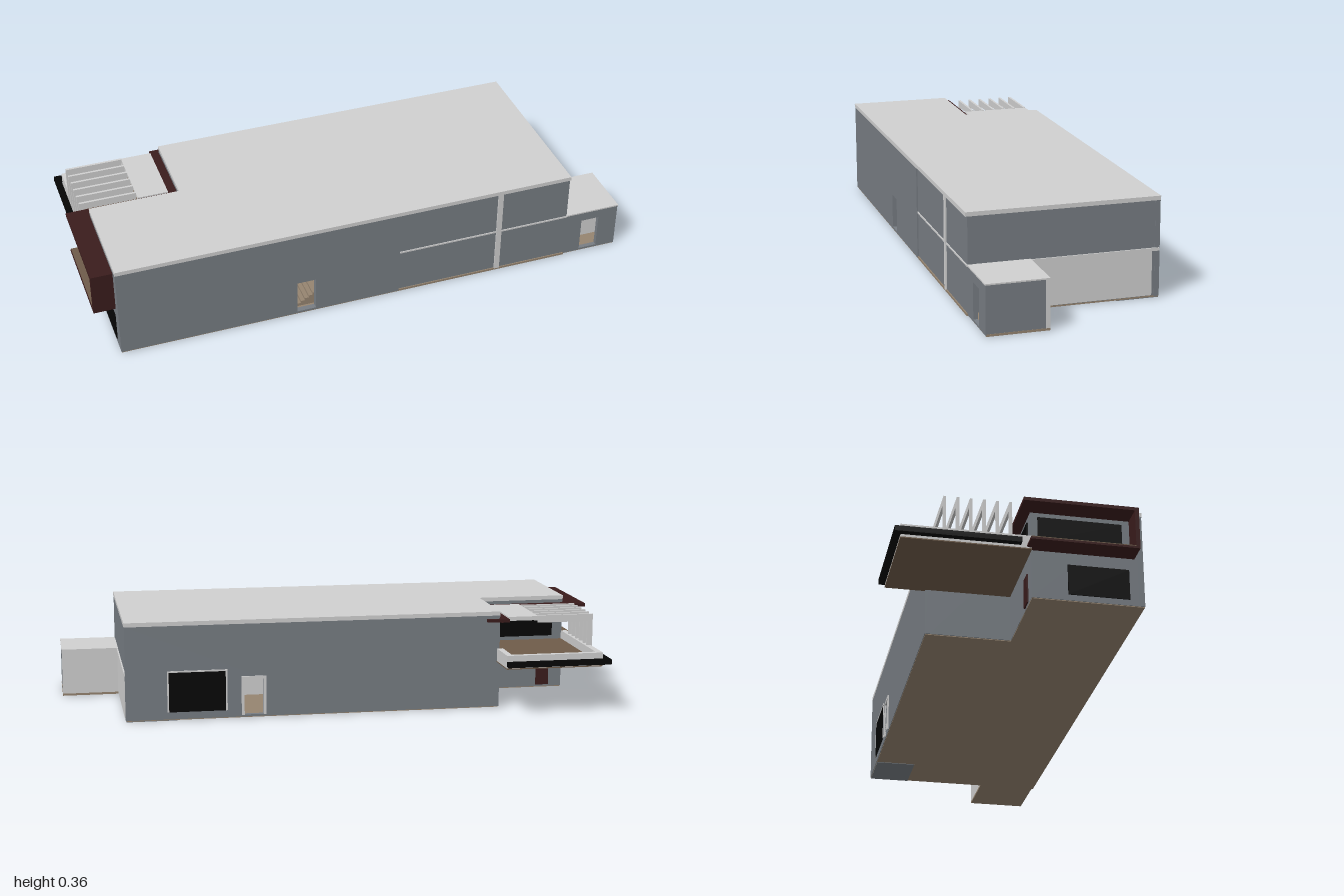
import * as THREE from 'three';

const mat = (name, color) => {
  const m = new THREE.MeshStandardMaterial({ color });
  m.name = name;
  return m;
};

export function createModel() {
  const house = new THREE.Group();
  house.name = 'house';
  const wall = mat('wall grey', 0x777d83);
  const light = mat('light grey', 0xd0d0d0);
  const taupe = mat('ground floor taupe', 0x958470);
  const brown = mat('terrace brown', 0x6f5c4a);
  const red = mat('dark red', 0x3a1c1c);
  const black = mat('black glass', 0x050505);

  const add = (name, geometry, material) => {
    const mesh = new THREE.Mesh(geometry, material);
    mesh.name = name;
    house.add(mesh);
    return mesh;
  };
  // box from its two corners
  const box = (name, m, x0, x1, y0, y1, z0, z1) =>
    add(name, new THREE.BoxGeometry(x1 - x0, y1 - y0, z1 - z0), m)
      .position.set((x0 + x1) / 2, (y0 + y1) / 2, (z0 + z1) / 2);

  const shapeOf = (pts) => new THREE.Shape(pts.map(([x, y]) => new THREE.Vector2(x, y)));
  const rect = ([a, b, c, d]) => [[a, c], [b, c], [b, d], [a, d]];
  // wall in the xy plane with openings given as [x0, x1, y0, y1]
  const wallXY = (name, x0, x1, y0, y1, z0, z1, openings = []) => {
    const s = shapeOf(rect([x0, x1, y0, y1]));
    openings.forEach((o) => s.holes.push(shapeOf(rect(o))));
    add(name, new THREE.ExtrudeGeometry(s, { depth: z1 - z0, bevelEnabled: false }), wall)
      .position.z = z0;
  };
  // horizontal slab from a plan outline in x, z
  const slab = (name, m, pts, y0, y1) => {
    const g = new THREE.ExtrudeGeometry(shapeOf(pts.map(([x, z]) => [x, -z])),
      { depth: y1 - y0, bevelEnabled: false });
    g.rotateX(-Math.PI / 2);
    add(name, g, m).position.y = y0;
  };
  // L-shaped plan with the terrace corner cut away, inset by d
  const plan = (d) => [[-0.922 + d, 0.423 - d], [0.786 - d, 0.423 - d], [0.786 - d, -0.264 + d],
    [-0.59 + d, -0.264 + d], [-0.59 + d, 0.035 + d], [-0.922 + d, 0.035 + d]];

  slab('groundFloor', taupe, plan(0.003), 0.006, 0.014);
  slab('upperFloor', light, plan(0.012), 0.172, 0.182);
  slab('roof', light, plan(0), 0.35, 0.365);
  box('floorPatch', wall, 0.6, 0.783, 0.004, 0.006, -0.261, -0.11);

  // main walls
  wallXY('frontWallRight', -0.921, 0.12, 0.009, 0.35, 0.4, 0.421, [[-0.27, -0.2, 0.016, 0.145]]);
  wallXY('frontWallLeft', 0.12, 0.785, 0.009, 0.35, 0.395, 0.416);
  wallXY('backWall', -0.59, 0.785, 0.009, 0.35, -0.263, -0.245, [[0.288, 0.358, 0.016, 0.148]]);
  box('leftWall', wall, 0.765, 0.784, 0.012, 0.35, -0.245, 0.395);
  box('rightWall', wall, -0.921, -0.9, 0.009, 0.35, 0.037, 0.4);
  box('cornerWallSide', wall, -0.59, -0.57, 0.009, 0.35, -0.245, 0.055);
  box('cornerWallBack', wall, -0.9, -0.59, 0.009, 0.35, 0.037, 0.055);
  box('innerWall', light, -0.57, 0.765, 0.014, 0.172, 0.06, 0.07);

  // steps behind the front door
  for (let i = 0; i < 5; i++) {
    box('step', taupe, -0.262 + i * 0.015, -0.247 + i * 0.015, 0.014, 0.025 + i * 0.009, 0.28, 0.39);
  }

  // light bands on the front and left walls
  box('frontPost', light, 0.5, 0.52, 0.012, 0.352, 0.412, 0.421);
  box('frontBand', light, 0.12, 0.785, 0.178, 0.184, 0.412, 0.419);
  box('leftPanel', light, 0.78, 0.787, 0.014, 0.172, -0.235, 0.2);
  box('leftBand', light, 0.78, 0.789, 0.172, 0.183, -0.26, 0.2);

  // side annex with an open doorway
  wallXY('annexFront', 0.785, 0.995, 0.009, 0.18, 0.4, 0.416, [[0.85, 0.92, 0.016, 0.145]]);
  box('annexSide', wall, 0.98, 0.995, 0.014, 0.18, 0.213, 0.4);
  box('annexBack', light, 0.785, 0.996, 0.014, 0.18, 0.198, 0.213);
  box('annexInnerWall', light, 0.785, 0.98, 0.014, 0.18, 0.335, 0.342);
  box('annexRoof', light, 0.78, 0.997, 0.18, 0.185, 0.198, 0.418);
  box('annexFloor', taupe, 0.783, 0.996, 0.006, 0.014, 0.198, 0.414);

  // back window and door frames
  const frameXY = (name, x0, x1, y0, y1, z, t) => {
    box(name, light, x0 - t, x0, y0, y1 + t, z, -0.26);
    box(name, light, x1, x1 + t, y0, y1 + t, z, -0.26);
    box(name, light, x0, x1, y1, y1 + t, z, -0.26);
  };
  box('backWindow', black, 0.425, 0.63, 0.035, 0.18, -0.2645, -0.26);
  frameXY('backWindowFrame', 0.425, 0.63, 0.035, 0.18, -0.265, 0.006);
  frameXY('backDoorFrame', 0.288, 0.358, 0.016, 0.148, -0.268, 0.01);

  // glazing and door around the terrace corner
  box('terraceWindow', black, -0.88, -0.64, 0.21, 0.31, 0.032, 0.038);
  box('terraceSideWindow', black, -0.595, -0.589, 0.2, 0.31, -0.2, -0.03);
  box('lowerCornerDoor', red, -0.87, -0.82, 0.016, 0.12, 0.032, 0.038);
  box('upperSideWindow', black, -0.924, -0.919, 0.215, 0.31, 0.06, 0.35);
  box('lowerSideWindow', black, -0.924, -0.919, 0.03, 0.14, 0.16, 0.37);

  // dark red band wrapping the corner and framing the side window
  box('bandSide', red, -0.622, -0.59, 0.326, 0.338, -0.282, 0.035);
  box('bandEnd', red, -0.59, -0.54, 0.328, 0.338, -0.282, -0.264);
  box('bandBack', red, -1, -0.59, 0.326, 0.338, -0.002, 0.035);
  box('bandTop', red, -1, -0.922, 0.326, 0.338, 0.035, 0.388);
  box('bandFrontEnd', red, -1, -0.922, 0.183, 0.338, 0.376, 0.39);
  box('bandBottom', red, -1, -0.922, 0.183, 0.191, 0.02, 0.376);
  box('balconyFloor', brown, -0.998, -0.922, 0.191, 0.195, 0.022, 0.376);

  // cantilevered terrace with parapet and black outer rail
  box('terraceUnderside', brown, -0.94, -0.58, 0.176, 0.18, -0.403, 0.036);
  box('terraceBase', light, -0.94, -0.58, 0.18, 0.19, -0.403, 0.036);
  box('terraceFloor', brown, -0.918, -0.602, 0.19, 0.196, -0.383, 0.036);
  box('parapetBack', light, -0.94, -0.58, 0.18, 0.227, -0.403, -0.383);
  box('parapetRight', light, -0.94, -0.918, 0.18, 0.227, -0.383, 0.036);
  box('parapetLeft', light, -0.602, -0.58, 0.18, 0.227, -0.383, -0.264);
  box('railBack', black, -0.967, -0.58, 0.186, 0.205, -0.425, -0.403);
  box('railRight', black, -0.967, -0.945, 0.186, 0.205, -0.412, -0.002);

  // pergola: solid canopy strip and slats standing on the parapet
  box('canopy', light, -0.735, -0.622, 0.328, 0.343, -0.262, -0.002);
  for (let i = 0; i < 6; i++) {
    const z = -0.262 + i * 0.0445;
    box('slat', light, -0.945, -0.735, 0.318, 0.345, z, z + 0.009);
    box('slatPost', light, -0.945, -0.925, 0.2, 0.318, z, z + 0.009);
  }
  return house;
}
